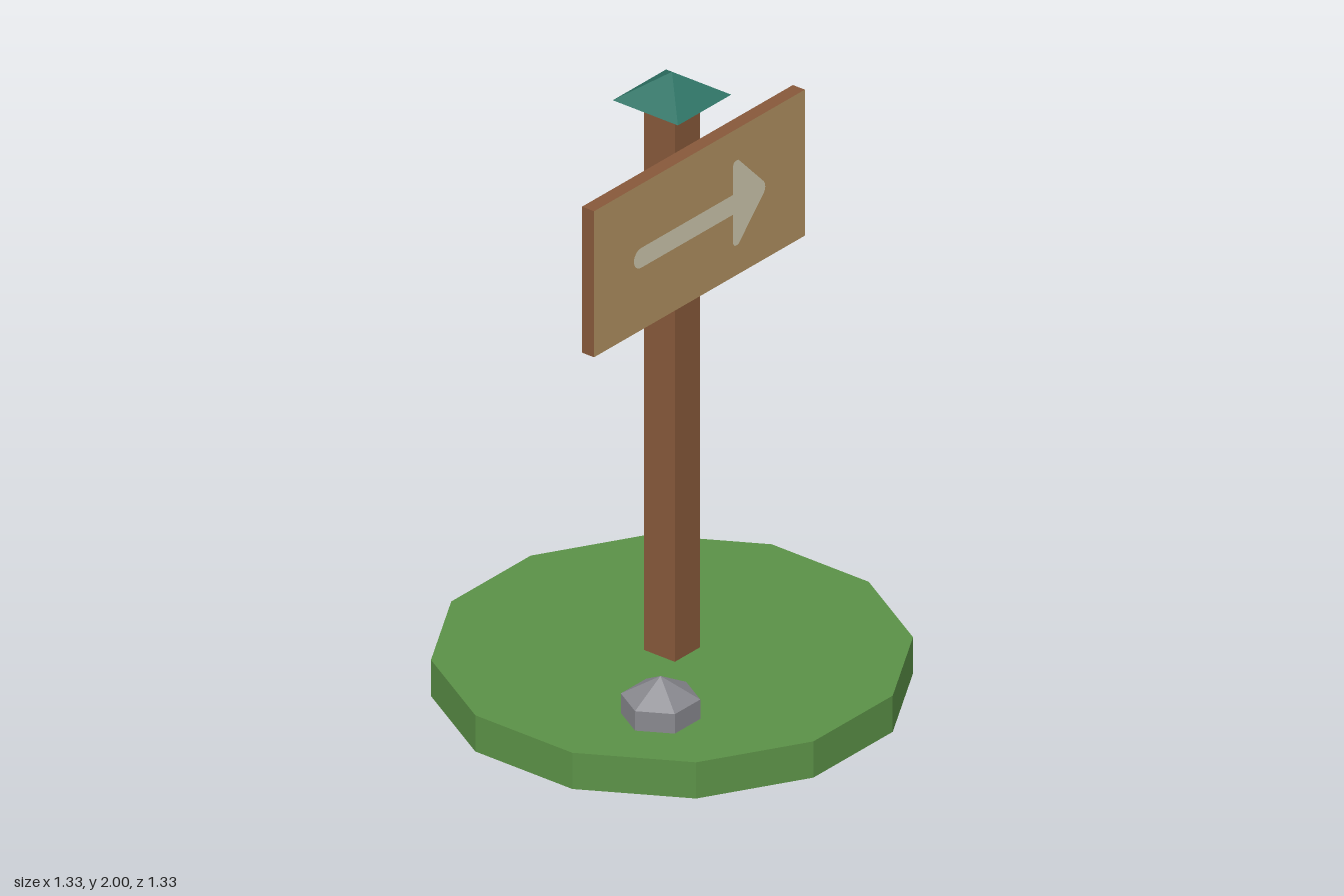
import * as THREE from 'three';

export function createModel() {
  const root = new THREE.Group();
  root.name = 'signpost';

  const material = (name, color, extra = {}) => {
    const m = new THREE.MeshStandardMaterial({ color, flatShading: true, ...extra });
    m.name = name;
    return m;
  };
  const grass = material('grass green', 0x5b9147);
  const wood = material('brown wood', 0x87583a);
  const panel = material('tan panel', 0xb09060);
  const paint = material('cream paint', 0xcec8ae, { side: THREE.DoubleSide });
  const roof = material('teal roof', 0x2f7466);
  const stone = material('grey stone', 0x88888e);

  const add = (name, geometry, mat, x, y, z) => {
    const mesh = new THREE.Mesh(geometry, mat);
    mesh.name = name;
    mesh.position.set(x, y, z);
    root.add(mesh);
    return mesh;
  };

  // Twelve-sided grassy base
  const base = new THREE.CylinderGeometry(0.69, 0.69, 0.117, 12).rotateY(Math.PI / 12);
  add('grassBase', base, grass, 0, 0.0775, 0);

  // Six-sided rock sunk through the base
  add('rock', new THREE.SphereGeometry(0.1325, 6, 3), stone, -0.335, 0.1325, 0.232);

  // Square post and its pyramid cap
  add('post', new THREE.BoxGeometry(0.114, 1.785, 0.114), wood, 0, 1.0275, 0);
  const cap = new THREE.ConeGeometry(0.12 * Math.SQRT2, 0.083, 4).rotateY(Math.PI / 4);
  add('postCap', cap, roof, 0, 1.9585, 0);

  // Sign board: brown edges, tan front and back
  const boardY = 1.544, boardZ = 0.079, depth = 0.044;
  add('signBoard', new THREE.BoxGeometry(0.948, 0.472, depth),
    [wood, wood, wood, wood, panel, panel], 0, boardY, boardZ);

  // Painted arrow with rounded tail and softened head corners
  const arrow = new THREE.Shape();
  arrow.moveTo(-0.266, -0.032);
  arrow.lineTo(0.147, -0.032);
  arrow.lineTo(0.147, -0.122);
  arrow.quadraticCurveTo(0.15, -0.142, 0.172, -0.136);
  arrow.lineTo(0.285, -0.02);
  arrow.quadraticCurveTo(0.3, 0, 0.285, 0.02);
  arrow.lineTo(0.172, 0.136);
  arrow.quadraticCurveTo(0.15, 0.142, 0.147, 0.122);
  arrow.lineTo(0.147, 0.032);
  arrow.lineTo(-0.266, 0.032);
  arrow.absarc(-0.266, 0, 0.032, Math.PI / 2, Math.PI * 1.5, false);
  const arrowFace = new THREE.ShapeGeometry(arrow, 6);
  for (const [name, side] of [['frontArrow', 1], ['backArrow', -1]]) {
    add(name, arrowFace, paint, 0, boardY, boardZ + side * (depth / 2 + 0.003));
  }

  return root;
}
